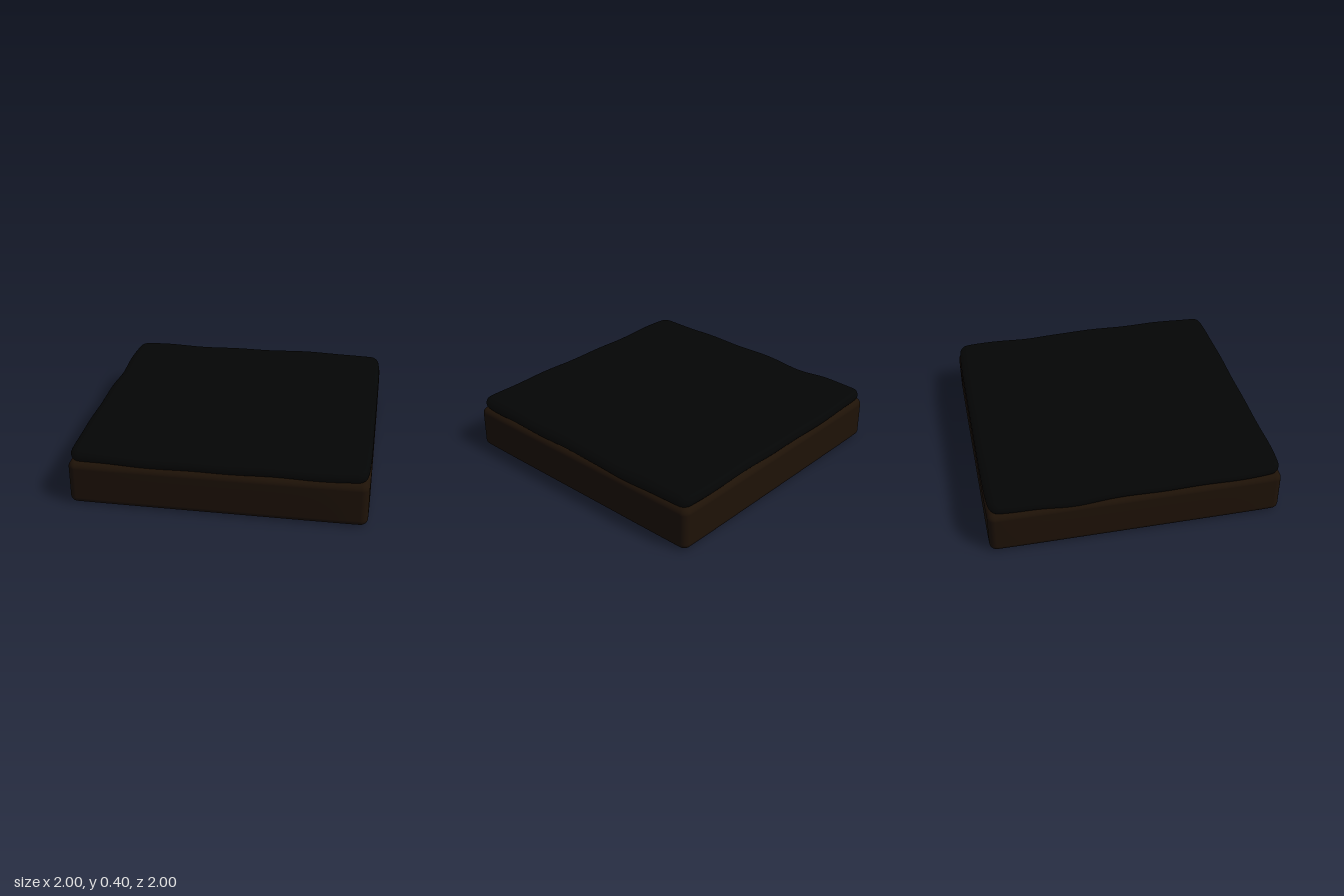
import * as THREE from 'three';
import { mergeVertices } from 'three/addons/utils/BufferGeometryUtils.js';

const EDGE = 6; // grid steps spent on each rounded edge

// Grid position u in -1..1 -> [flat core position, bend direction]
function splitAxis(u, n, core) {
  const i = Math.round((u + 1) / 2 * n);
  if (i < EDGE) return [-core, -Math.tan((EDGE - i) / EDGE * Math.PI / 4)];
  if (i > n - EDGE) return [core, Math.tan((i - n + EDGE) / EDGE * Math.PI / 4)];
  return [((i - EDGE) / (n - 2 * EDGE) * 2 - 1) * core, 0];
}

// Soft-edged slab: rx rounds across, ry rounds up and down, pull draws the corners in
function roundedSlab(half, y0, y1, rx, ry, pull, offset = () => 0) {
  const n = 72, ny = 2 * EDGE + 2, hy = (y1 - y0) / 2;
  let geo = new THREE.BoxGeometry(2, 2, 2, n, ny, n);
  const pos = geo.attributes.position;
  const dir = new THREE.Vector3();
  for (let i = 0; i < pos.count; i++) {
    const [cx, dx] = splitAxis(pos.getX(i), n, half - rx);
    const [cy, dy] = splitAxis(pos.getY(i), ny, hy - ry);
    const [cz, dz] = splitAxis(pos.getZ(i), n, half - rx);
    dir.set(dx, dy, dz).normalize();
    const x = cx + dir.x * rx, z = cz + dir.z * rx;
    const scale = 1 - pull * (x * z) ** 8;
    pos.setXYZ(i, x * scale, (y0 + y1) / 2 + cy + dir.y * ry + offset(x, z), z * scale);
  }
  geo.deleteAttribute('normal');
  geo.deleteAttribute('uv');
  geo = mergeVertices(geo, 1e-5);
  geo.computeVertexNormals();
  return geo;
}

const bell = (t, centre, width) => Math.exp(-(((t - centre) / width) ** 2));

// Trough across the back, hollow along one side, sagging middle, one low corner, small waves
function ripple(x, z) {
  const trough = -0.02 * bell(z, -0.45, 0.18);
  const hollow = -0.008 * bell(x, -0.3, 0.4);
  const sag = -0.006 * (1 - x * x) * (1 - z * z);
  const corner = -0.014 * bell(x, 1, 0.25) * bell(z, -1, 0.2);
  const waves = 0.003 * Math.cos(11 * x + 2) + 0.003 * Math.cos(12 * z - x);
  return trough + hollow + sag + corner + waves - 0.004;
}

export function createModel() {
  const group = new THREE.Group();
  const add = (name, geometry, color) => {
    const mesh = new THREE.Mesh(geometry, new THREE.MeshStandardMaterial({ color }));
    mesh.name = name;
    group.add(mesh);
  };
  // Brown base block
  add('base', roundedSlab(1, 0, 0.307, 0.05, 0.045, 0.004), 0x1e1207);
  // Black rippled layer resting on it
  add('topLayer', roundedSlab(0.998, 0.3, 0.394, 0.065, 0.046, 0.024, ripple), 0x040505);
  return group;
}
